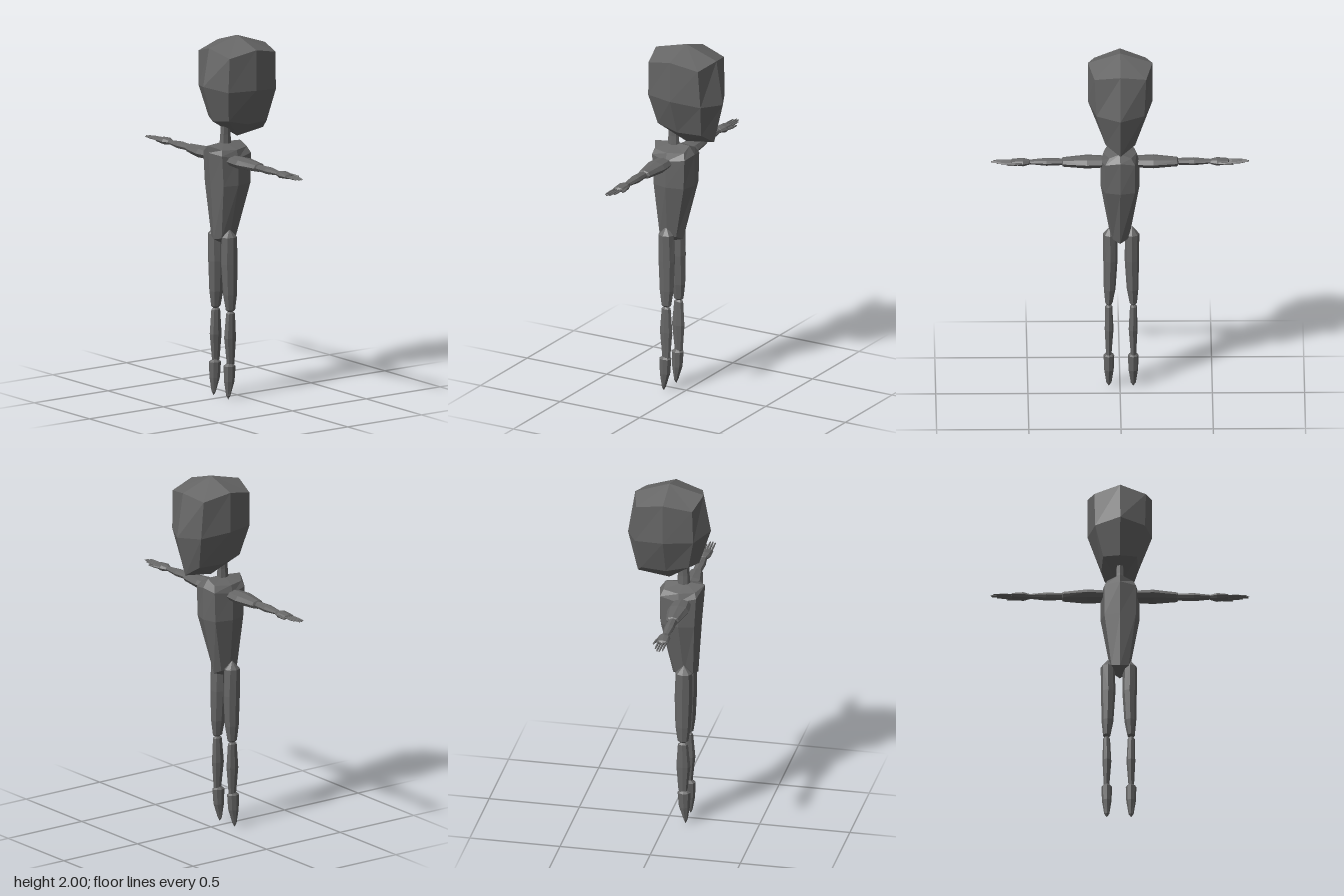
import * as THREE from 'three';

const grey = new THREE.MeshStandardMaterial({ color: 0x666666, flatShading: true });
grey.name = 'dark grey';

// Skin a stack of equal-length rings, closing each end to a tip; side -1 mirrors in x
function loft(name, rings, tipA, tipB, side = 1) {
  const pos = [];
  const tri = (a, b, c) => {
    for (const p of side > 0 ? [a, b, c] : [a, c, b]) pos.push(p[0] * side, p[1], p[2]);
  };
  const n = rings[0].length;
  for (let i = 0; i < n; i++) {
    const j = (i + 1) % n;
    for (let k = 0; k + 1 < rings.length; k++) {
      const A = rings[k], B = rings[k + 1];
      tri(A[i], B[i], A[j]);
      tri(B[i], B[j], A[j]);
    }
    const top = rings[rings.length - 1];
    tri(tipA, rings[0][i], rings[0][j]);
    tri(tipB, top[j], top[i]);
  }
  const geo = new THREE.BufferGeometry();
  geo.setAttribute('position', new THREE.Float32BufferAttribute(pos, 3));
  geo.computeVertexNormals();
  const mesh = new THREE.Mesh(geo, grey);
  mesh.name = name;
  return mesh;
}

// Full ring from a half outline running back, side, front
const whole = (half) => [
  ...half,
  ...half.slice(1, -1).reverse().map(([x, y, z]) => [-x, y, z]),
];

const ring = (n, f) => Array.from({ length: n }, (_, i) => {
  const a = (i / n) * Math.PI * 2;
  return f(Math.cos(a), Math.sin(a));
});

// Upright limb: rows of [y, x, z, radiusX, radiusZ], bottom to top
function upright(name, rows, low, high, side = 1) {
  const rings = rows.map(([y, x, z, rx, rz]) => ring(8, (c, s) => [x + rx * c, y, z + rz * s]));
  const a = rows[0], b = rows[rows.length - 1];
  return loft(name, rings, [a[1], low, a[2]], [b[1], high, b[2]], side);
}

// Sideways limb: rows of [x, y, z, radiusY, radiusZ], inner to outer
function sideways(name, rows, inner, outer, side, n = 8) {
  const rings = rows.map(([x, y, z, ry, rz]) => ring(n, (c, s) => [x, y + ry * s, z + rz * c]));
  const a = rows[0], b = rows[rows.length - 1];
  return loft(name, rings, [inner, a[1], a[2]], [outer, b[1], b[2]], side);
}

function makeArm(side) {
  const arm = new THREE.Group();
  arm.name = side > 0 ? 'leftArm' : 'rightArm';
  const y = 1.328;
  arm.add(
    sideways('upperArm', [
      [0.07, y, 0.087, 0.028, 0.05], [0.18, y, 0.087, 0.033, 0.06], [0.31, y, 0.083, 0.024, 0.037],
    ], 0.06, 0.325, side),
    sideways('forearm', [
      [0.31, y, 0.085, 0.018, 0.024], [0.40, y, 0.085, 0.021, 0.029], [0.495, y, 0.085, 0.011, 0.018],
    ], 0.30, 0.50, side),
    sideways('hand', [
      [0.49, y, 0.083, 0.013, 0.02], [0.525, y, 0.083, 0.021, 0.035], [0.585, y, 0.086, 0.013, 0.032],
    ], 0.48, 0.595, side),
  );
  // Four fingers: [z, tip x]
  [[0.064, 0.67], [0.078, 0.70], [0.092, 0.703], [0.107, 0.69]].forEach(([z, end]) => {
    const mid = (0.585 + end) / 2;
    arm.add(sideways('finger', [
      [0.575, y, z, 0.004, 0.005], [mid, y, z, 0.005, 0.006], [end - 0.008, y, z, 0.003, 0.004],
    ], 0.57, end, side, 6));
  });
  arm.add(sideways('thumb', [
    [0.53, y, 0.058, 0.007, 0.008], [0.57, y, 0.047, 0.007, 0.008], [0.61, y, 0.042, 0.004, 0.005],
  ], 0.52, 0.617, side, 6));
  return arm;
}

function makeLeg(side) {
  const leg = new THREE.Group();
  leg.name = side > 0 ? 'leftLeg' : 'rightLeg';
  leg.position.x = -0.006;
  leg.add(
    upright('thigh', [
      [0.495, 0.066, 0.09, 0.02, 0.03], [0.58, 0.062, 0.09, 0.032, 0.043],
      [0.75, 0.058, 0.092, 0.039, 0.05], [0.90, 0.06, 0.094, 0.039, 0.046],
    ], 0.475, 0.945, side),
    upright('shin', [
      [0.195, 0.067, 0.09, 0.015, 0.025], [0.34, 0.065, 0.092, 0.024, 0.039],
      [0.475, 0.067, 0.09, 0.019, 0.028],
    ], 0.18, 0.495, side),
    upright('foot', [
      [0.02, 0.066, 0.105, 0.014, 0.010], [0.10, 0.066, 0.098, 0.026, 0.031],
      [0.185, 0.066, 0.096, 0.029, 0.036],
    ], 0.0, 0.21, side),
  );
  return leg;
}

export function createModel() {
  const model = new THREE.Group();
  model.name = 'figure';

  // Large faceted head
  model.add(loft('head', [
    whole([[0, 1.465, -0.175], [0.08, 1.52, -0.14], [0.10, 1.52, 0], [0.092, 1.55, 0.125], [0, 1.54, 0.165]]),
    whole([[0, 1.69, -0.23], [0.13, 1.70, -0.165], [0.175, 1.72, 0], [0.135, 1.72, 0.16], [0, 1.74, 0.23]]),
    whole([[0, 1.935, -0.19], [0.14, 1.91, -0.155], [0.175, 1.945, 0], [0.14, 1.91, 0.155], [0, 1.95, 0.19]]),
  ], [0, 1.44, 0], [0, 2, 0]));

  model.add(upright('neck', [
    [1.38, 0, 0.08, 0.028, 0.038], [1.46, 0, 0.079, 0.022, 0.033], [1.56, 0, 0.075, 0.022, 0.033],
  ], 1.37, 1.57));

  // Torso narrowing to the hips
  model.add(loft('torso', [
    whole([[0, 0.87, 0.02], [0.04, 0.89, 0.04], [0.052, 0.89, 0.09], [0.047, 0.895, 0.14], [0, 0.885, 0.16]]),
    whole([[0, 1.19, -0.053], [0.08, 1.19, -0.03], [0.105, 1.19, 0.07], [0.085, 1.19, 0.155], [0, 1.19, 0.18]]),
    whole([[0, 1.37, -0.053], [0.08, 1.355, -0.035], [0.105, 1.34, 0.07], [0.085, 1.36, 0.165], [0, 1.37, 0.195]]),
    whole([[0, 1.415, -0.02], [0.06, 1.39, -0.02], [0.09, 1.385, 0.07], [0.07, 1.39, 0.155], [0, 1.41, 0.197]]),
  ], [0, 0.85, 0.085], [0, 1.42, 0.085]));

  for (const side of [1, -1]) model.add(makeArm(side), makeLeg(side));
  return model;
}
